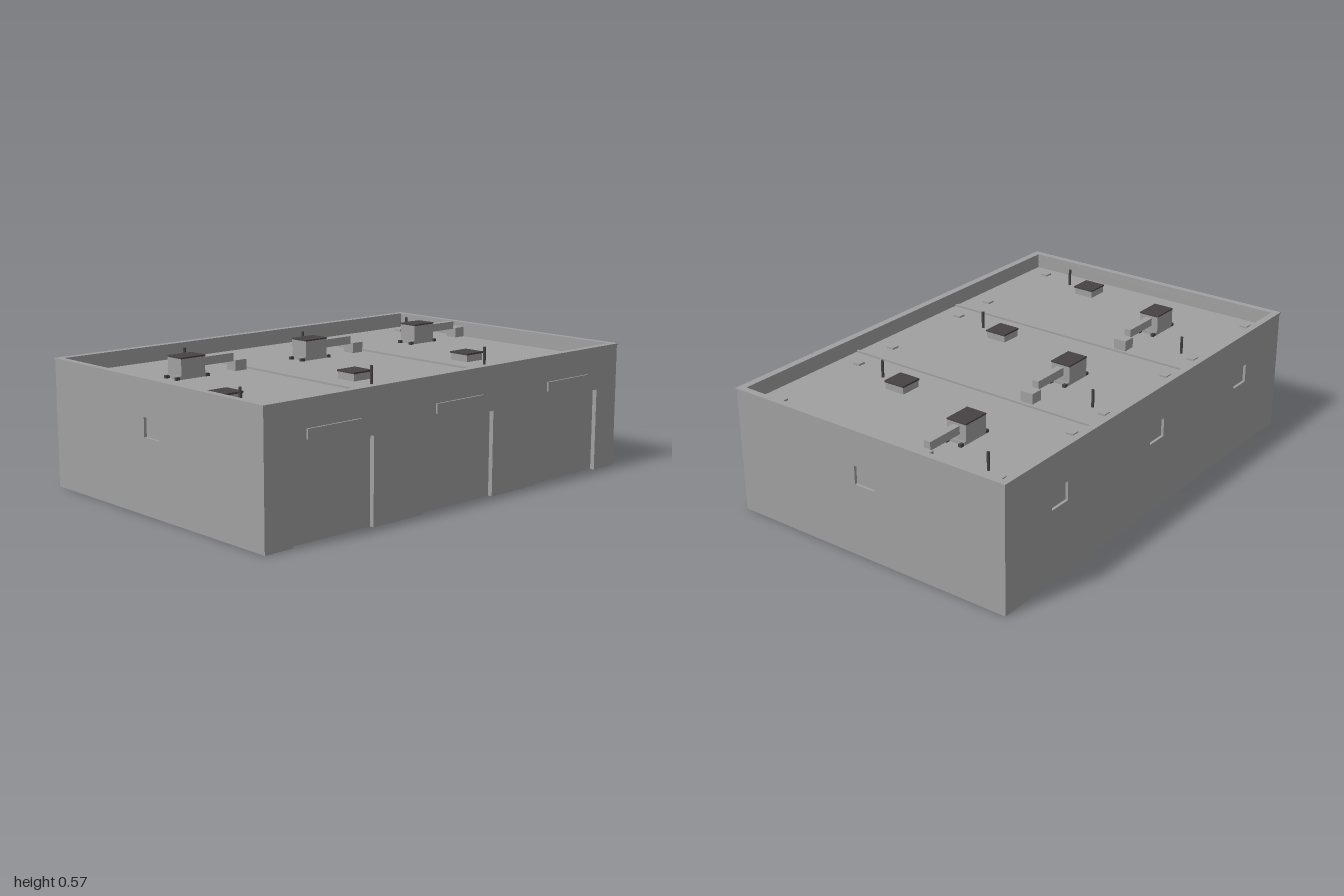
import * as THREE from 'three';

const W = 0.996, D = 0.664, ZC = -0.004;   // wall half-width, half-depth, depth centre
const TOP = 0.542, COPING = 0.535, ROOF = 0.475;
const BAY = 0.664;                          // spacing of the three bays

export function createModel() {
  const grey = new THREE.MeshStandardMaterial({ color: 0xa0a0a0, side: THREE.DoubleSide });
  grey.name = 'concrete grey';
  const dark = new THREE.MeshStandardMaterial({ color: 0x474344 });
  dark.name = 'dark metal';

  const model = new THREE.Group();
  model.name = 'warehouse';

  function add(parent, name, geometry, material, x = 0, y = 0, z = 0) {
    const mesh = new THREE.Mesh(geometry, material);
    mesh.name = name;
    mesh.position.set(x, y, z);
    parent.add(mesh);
    return mesh;
  }

  // box given by its centre in x and z and its bottom and top in y
  function block(parent, name, material, x, z, w, d, y0, y1) {
    return add(parent, name, new THREE.BoxGeometry(w, y1 - y0, d), material, x, (y0 + y1) / 2, z);
  }

  // shallow pocket behind an opening: a box without its front (and, for doors, bottom)
  function pocket(parent, name, x, y0, y1, w, depth, openBottom) {
    const g = new THREE.BoxGeometry(w, y1 - y0, depth);
    const idx = Array.from(g.index.array);
    const keep = idx.filter((_, i) => {
      const face = Math.floor(i / 6);
      return face !== 4 && !(openBottom && face === 3);
    });
    g.setIndex(keep);
    g.clearGroups();
    add(parent, name, g, grey, x, (y0 + y1) / 2, -depth / 2);
  }

  // thin wall in the xy plane facing +z, with recessed windows or doors
  function wall(name, half, windows, doors) {
    const group = new THREE.Group();
    group.name = name;
    const s = new THREE.Shape();
    s.moveTo(-half, 0);
    for (const x of doors) {
      s.lineTo(x - 0.2, 0);
      s.lineTo(x - 0.2, 0.355);
      s.lineTo(x + 0.2, 0.355);
      s.lineTo(x + 0.2, 0);
      pocket(group, 'door', x, 0, 0.355, 0.4, 0.02, true);
    }
    s.lineTo(half, 0);
    s.lineTo(half, COPING);
    s.lineTo(-half, COPING);
    for (const x of windows) {
      const h = new THREE.Path();
      h.moveTo(x - 0.05, 0.31);
      h.lineTo(x - 0.05, 0.39);
      h.lineTo(x + 0.05, 0.39);
      h.lineTo(x + 0.05, 0.31);
      s.holes.push(h);
      pocket(group, 'window', x, 0.31, 0.39, 0.1, 0.012, false);
    }
    add(group, name + 'Face', new THREE.ShapeGeometry(s), grey);
    model.add(group);
    return group;
  }

  // rectangular ring lying flat between two heights
  function ring(name, hw, hd, iw, id, y0, y1) {
    const rect = (p, a, b) => {
      p.moveTo(-a, -b);
      p.lineTo(a, -b);
      p.lineTo(a, b);
      p.lineTo(-a, b);
      p.closePath();
      return p;
    };
    const s = rect(new THREE.Shape(), hw, hd);
    s.holes.push(rect(new THREE.Path(), iw, id));
    const g = new THREE.ExtrudeGeometry(s, { depth: y1 - y0, bevelEnabled: false });
    g.rotateX(-Math.PI / 2);
    add(model, name, g, grey, 0, y0, ZC);
  }

  // Walls
  const bays = [-BAY, 0, BAY];
  wall('frontWall', W, [], bays).position.z = ZC + D;
  const back = wall('backWall', W, bays, []);
  back.rotation.y = Math.PI;
  back.position.z = ZC - D;
  for (const side of [-1, 1]) {
    const w = wall(side > 0 ? 'leftWall' : 'rightWall', D, [0], []);
    w.rotation.y = side * Math.PI / 2;
    w.position.set(side * W, 0, ZC);
  }

  // Roof, parapet and coping
  block(model, 'roof', grey, 0, ZC, 2 * W - 0.004, 2 * D - 0.004, ROOF - 0.008, ROOF);
  ring('parapet', W - 0.002, D - 0.002, 0.972, 0.638, ROOF, COPING);
  ring('coping', 1, 0.668, 0.97, 0.636, COPING, TOP);
  for (const x of [-BAY / 2, BAY / 2]) {
    block(model, 'roofSeam', grey, x, ZC, 0.01, 1.27, ROOF - 0.012, ROOF + 0.008);
  }

  // Equipment repeated on each bay
  for (const x of bays) {
    const bay = new THREE.Group();
    bay.name = 'bayEquipment';
    bay.position.x = x;
    model.add(bay);

    // panel above the door
    block(bay, 'doorPanel', grey, 0, ZC + D + 0.004, 0.265, 0.008, 0.39, 0.43);

    // air handling unit with feet and duct
    block(bay, 'unitBase', grey, 0.022, -0.25, 0.13, 0.08, ROOF, 0.49);
    block(bay, 'unitBody', grey, 0.022, -0.25, 0.12, 0.09, 0.49, 0.56);
    block(bay, 'unitLid', dark, 0.022, -0.25, 0.122, 0.092, 0.56, 0.566);
    for (const fx of [-0.053, 0.097]) {
      for (const fz of [-0.283, -0.213]) {
        block(bay, 'unitFoot', dark, fx, fz, 0.018, 0.014, ROOF, 0.487);
      }
    }
    block(bay, 'duct', grey, 0.167, -0.25, 0.17, 0.03, 0.515, 0.55);
    block(bay, 'ductOutlet', grey, 0.281, -0.25, 0.058, 0.058, ROOF, 0.52);

    // roof vent
    block(bay, 'vent', grey, -0.168, 0.238, 0.094, 0.094, ROOF, 0.505);
    block(bay, 'ventLid', dark, -0.168, 0.238, 0.1, 0.1, 0.505, 0.512);

    // pipes
    for (const [px, pz] of [[-0.2, 0.37], [0.184, -0.48]]) {
      add(bay, 'pipe', new THREE.CylinderGeometry(0.006, 0.006, 0.075, 8), dark, px, ROOF + 0.0375, pz);
    }

    // small drain covers near the front and back edges
    for (const cx of [-0.24, 0.21]) {
      for (const cz of [-0.55, 0.54]) {
        block(bay, 'drainCover', grey, cx, cz, 0.035, 0.035, ROOF, ROOF + 0.008);
      }
    }
  }
  return model;
}
